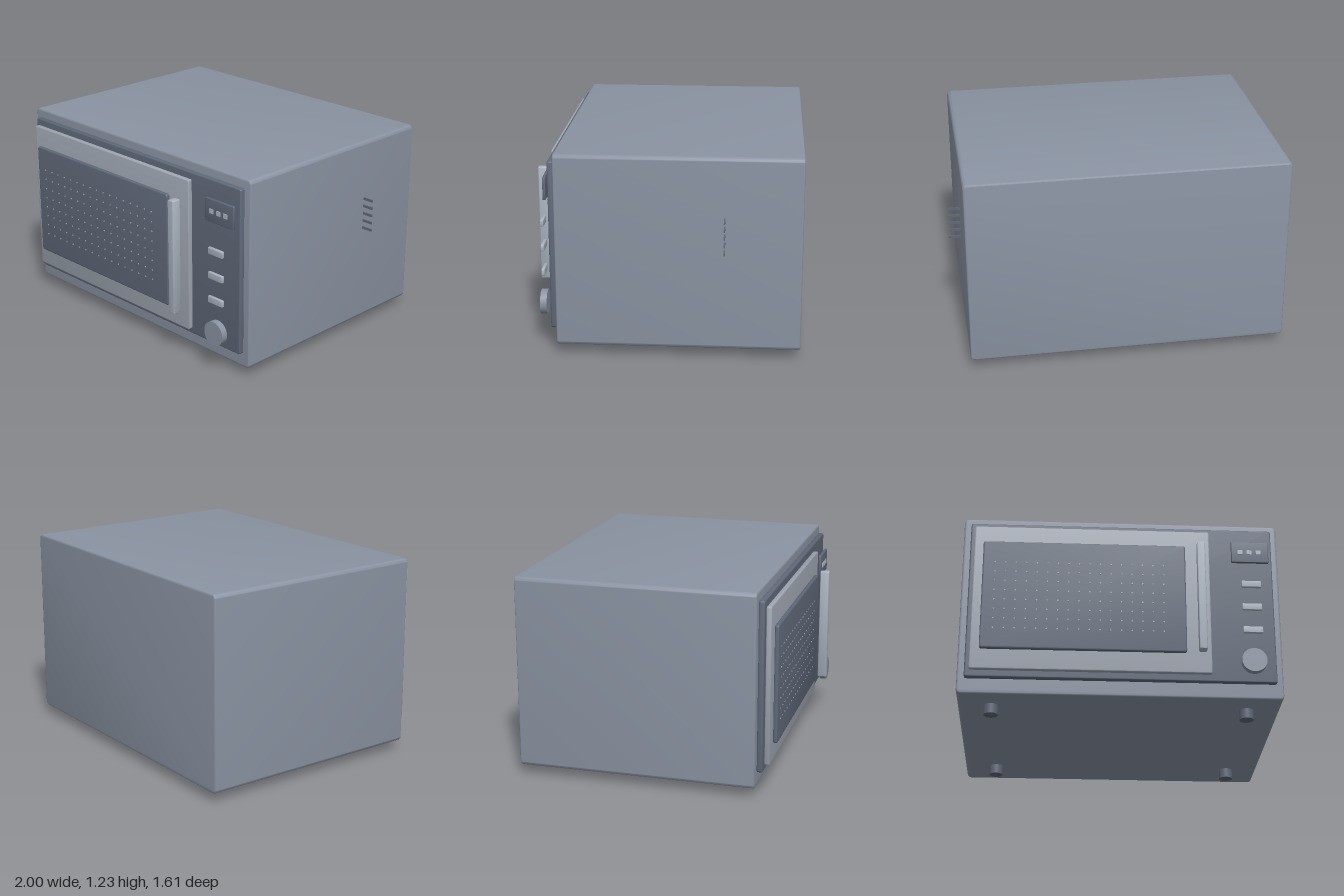
import * as THREE from 'three';
import { toCreasedNormals } from 'three/addons/utils/BufferGeometryUtils.js';

const paint = (color) => new THREE.MeshStandardMaterial({ color });
const shell = paint(0x8a93a2);
const dark = paint(0x5f6878);
const light = paint(0x9fa6b2);
const pale = paint(0xa9b3bf);

// Slab with rounded corners and bevelled edges, given by its outer limits
function slab(name, material, [x0, x1], [y0, y1], [z0, z1], radius, bevel) {
  const l = x0 + bevel, r = x1 - bevel, b = y0 + bevel, t = y1 - bevel;
  const c = Math.max(radius - bevel, 0.002);
  const shape = new THREE.Shape();
  shape.absarc(r - c, t - c, c, 0, Math.PI / 2);
  shape.absarc(l + c, t - c, c, Math.PI / 2, Math.PI);
  shape.absarc(l + c, b + c, c, Math.PI, Math.PI * 1.5);
  shape.absarc(r - c, b + c, c, Math.PI * 1.5, Math.PI * 2);
  shape.closePath();
  const geometry = new THREE.ExtrudeGeometry(shape, {
    depth: z1 - z0 - 2 * bevel, curveSegments: 5,
    bevelEnabled: true, bevelThickness: bevel, bevelSize: bevel, bevelSegments: 3,
  });
  geometry.translate(0, 0, z0 + bevel);
  const mesh = new THREE.Mesh(toCreasedNormals(geometry, 0.6), material);
  mesh.name = name;
  return mesh;
}

function part(name, geometry, material, x, y, z) {
  const mesh = new THREE.Mesh(geometry, material);
  mesh.name = name;
  mesh.position.set(x, y, z);
  return mesh;
}

export function createModel() {
  const oven = new THREE.Group();
  oven.name = 'microwaveOven';

  // Casing, front panel, door, window and the handle standing off the door
  oven.add(
    slab('casing', shell, [-1, 0.93], [0.06, 1.23], [-0.803, 0.643], 0.026, 0.01),
    slab('frontPanel', dark, [-0.956, 0.888], [0.15, 1.179], [0.645, 0.68], 0.014, 0.008),
    slab('door', light, [-0.928, 0.5], [0.189, 1.14], [0.683, 0.715], 0.01, 0.006),
    slab('window', dark, [-0.872, 0.35], [0.308, 1.02], [0.721, 0.747], 0.014, 0.007),
    slab('handle', pale, [0.418, 0.466], [0.307, 1.025], [0.747, 0.804], 0.01, 0.006),
  );

  // Perforation dots on the window
  const dots = new THREE.Group();
  dots.name = 'windowDots';
  const dotGeometry = new THREE.CylinderGeometry(0.005, 0.005, 0.006, 8).rotateX(Math.PI / 2);
  for (let col = 0; col < 17; col++) {
    for (let row = 0; row < 8; row++) {
      dots.add(part('dot', dotGeometry, light, -0.797 + col * 0.0633, 0.438 + row * 0.0627, 0.747));
    }
  }
  oven.add(dots);

  // Display with three digit blocks
  oven.add(slab('display', dark, [0.636, 0.864], [0.937, 1.077], [0.695, 0.713], 0.006, 0.004));
  const digitGeometry = new THREE.BoxGeometry(0.03, 0.028, 0.006);
  for (const x of [0.69, 0.746, 0.802]) oven.add(part('digit', digitGeometry, pale, x, 1.005, 0.715));

  // Push buttons
  for (const y of [0.467, 0.62, 0.773]) {
    oven.add(slab('button', pale, [0.688, 0.806], [y - 0.021, y + 0.021], [0.724, 0.744], 0.006, 0.004));
  }

  // Dial
  const dialGeometry = new THREE.CylinderGeometry(0.075, 0.075, 0.04, 32).rotateX(Math.PI / 2);
  oven.add(part('dial', dialGeometry, shell, 0.746, 0.264, 0.735));

  // Vent fins on the left side
  const finGeometry = new THREE.BoxGeometry(0.08, 0.015, 0.008);
  for (let i = 0; i < 5; i++) oven.add(part('ventFin', finGeometry, dark, 0.96, 0.672 + i * 0.0475, -0.35));

  // Feet
  const footGeometry = new THREE.CylinderGeometry(0.043, 0.043, 0.065, 24);
  for (const x of [-0.8, 0.727]) {
    for (const z of [0.46, -0.57]) oven.add(part('foot', footGeometry, dark, x, 0.0325, z));
  }

  return oven;
}
